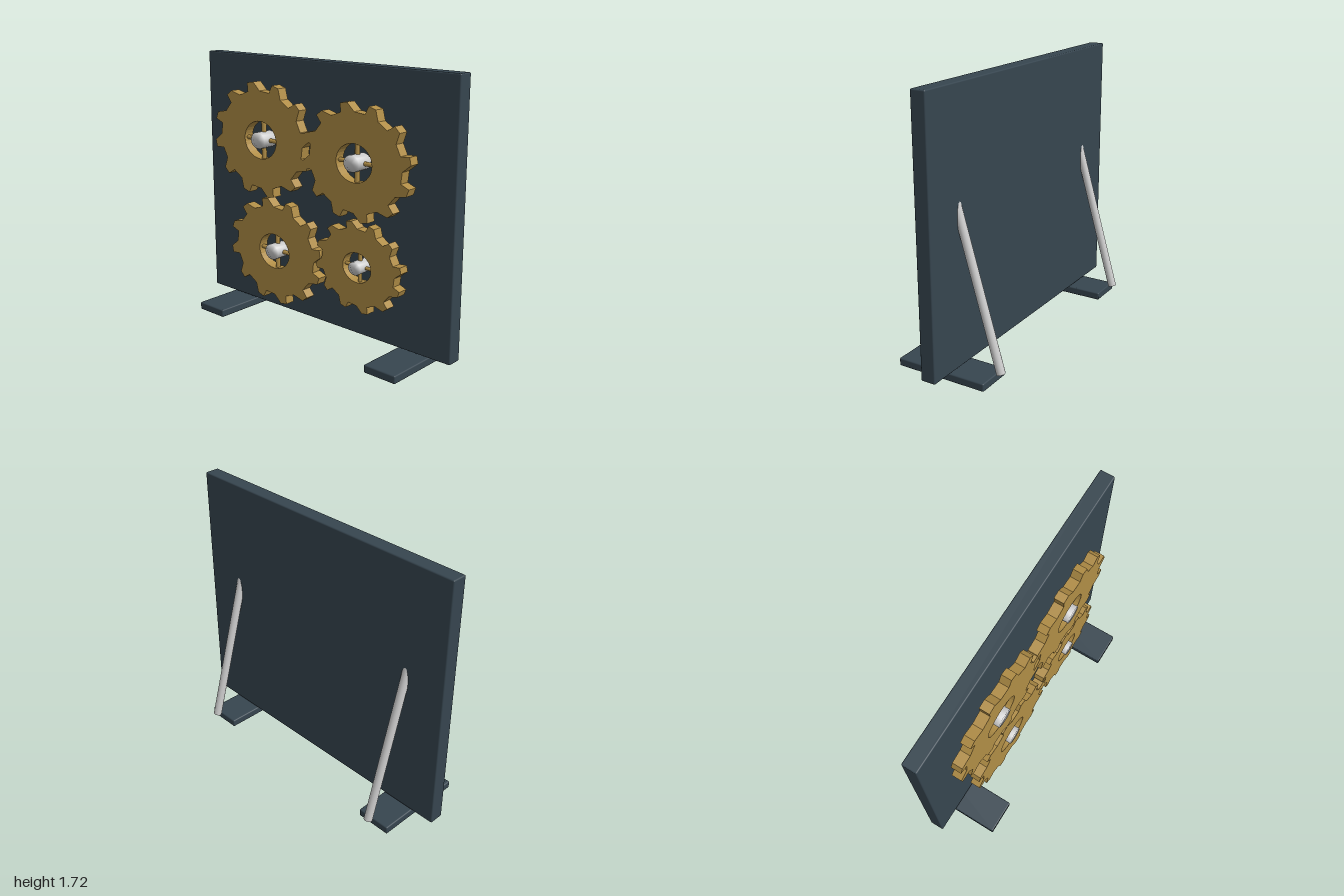
import * as THREE from 'three';
import { RoundedBoxGeometry } from 'three/addons/geometries/RoundedBoxGeometry.js';
import { mergeVertices } from 'three/addons/utils/BufferGeometryUtils.js';

const slate = new THREE.MeshStandardMaterial({ color: 0x36454f });
const brass = new THREE.MeshStandardMaterial({ color: 0xb08d46 });
const steel = new THREE.MeshStandardMaterial({ color: 0xcccccc });

const SQUASH = 0.855; // gears are slightly flattened in height
const TEETH = 12;
const GEAR_Z = 0.124;

function addMesh(parent, name, geometry, material, x = 0, y = 0, z = 0) {
  const mesh = new THREE.Mesh(geometry, material);
  mesh.name = name;
  mesh.position.set(x, y, z);
  parent.add(mesh);
  return mesh;
}

// Toothed disc with a round window, centred on its own thickness
function gearPlate(radius) {
  const root = radius * 0.85;
  const step = (Math.PI * 2) / TEETH;
  const points = [];
  for (let i = 0; i < TEETH; i++) {
    for (const [t, r] of [[0, root], [0.25, radius], [0.5, radius], [0.56, root]]) {
      const a = (i + t) * step;
      points.push(new THREE.Vector2(Math.cos(a) * r, Math.sin(a) * r));
    }
  }
  const shape = new THREE.Shape(points);
  const hole = new THREE.Path();
  hole.absarc(0, 0, radius * 0.328, 0, Math.PI * 2, true);
  shape.holes.push(hole);
  const depth = 0.066;
  return new THREE.ExtrudeGeometry(shape, { depth, bevelEnabled: false, curveSegments: 16 })
    .translate(0, 0, -depth / 2);
}

// Hub with softly blended normals
function hubGeometry(radius) {
  const g = new THREE.CylinderGeometry(radius, radius, 0.108, 16).rotateX(Math.PI / 2);
  g.deleteAttribute('normal');
  g.deleteAttribute('uv');
  const merged = mergeVertices(g);
  merged.computeVertexNormals();
  return merged;
}

function createGear(x, y, radius) {
  const gear = new THREE.Group();
  gear.name = 'gear';
  gear.position.set(x, y, GEAR_Z);
  gear.scale.y = SQUASH;
  addMesh(gear, 'gearPlate', gearPlate(radius), brass);
  addMesh(gear, 'hub', hubGeometry(radius * 0.145), steel);
  // Crossed round spokes spanning the window
  for (const angle of [0, Math.PI / 2]) {
    const spoke = new THREE.CylinderGeometry(radius * 0.038, radius * 0.038, radius * 0.68, 12);
    addMesh(gear, 'spoke', spoke.rotateZ(angle), brass);
  }
  return gear;
}

export function createModel() {
  const model = new THREE.Group();
  model.name = 'gearDisplay';

  // Upright back panel
  addMesh(model, 'panel', new RoundedBoxGeometry(2, 1.65, 0.095, 2, 0.008), slate, 0, 0.89, -0.003);

  // Gear train: x, y, radius
  const gears = [
    [-0.4, 1.2, 0.428],
    [0.37, 1.165, 0.41],
    [-0.29, 0.49, 0.405],
    [0.4, 0.54, 0.328],
  ];
  for (const g of gears) model.add(createGear(...g));

  // Feet and slanted rear struts, mirrored
  const bottom = new THREE.Vector3(0, 0.078, -0.309);
  const top = new THREE.Vector3(0, 1.06, -0.022);
  const direction = top.clone().sub(bottom);
  const middle = top.clone().add(bottom).multiplyScalar(0.5);
  for (const side of [-1, 1]) {
    addMesh(model, 'foot', new RoundedBoxGeometry(0.226, 0.05, 0.595, 2, 0.008), slate, side * 0.72, 0.025, 0.037);
    const strut = addMesh(model, 'strut', new THREE.CylinderGeometry(0.027, 0.027, direction.length(), 16),
      steel, side * 0.723, middle.y, middle.z);
    strut.rotation.x = Math.atan2(direction.z, direction.y);
  }

  return model;
}
